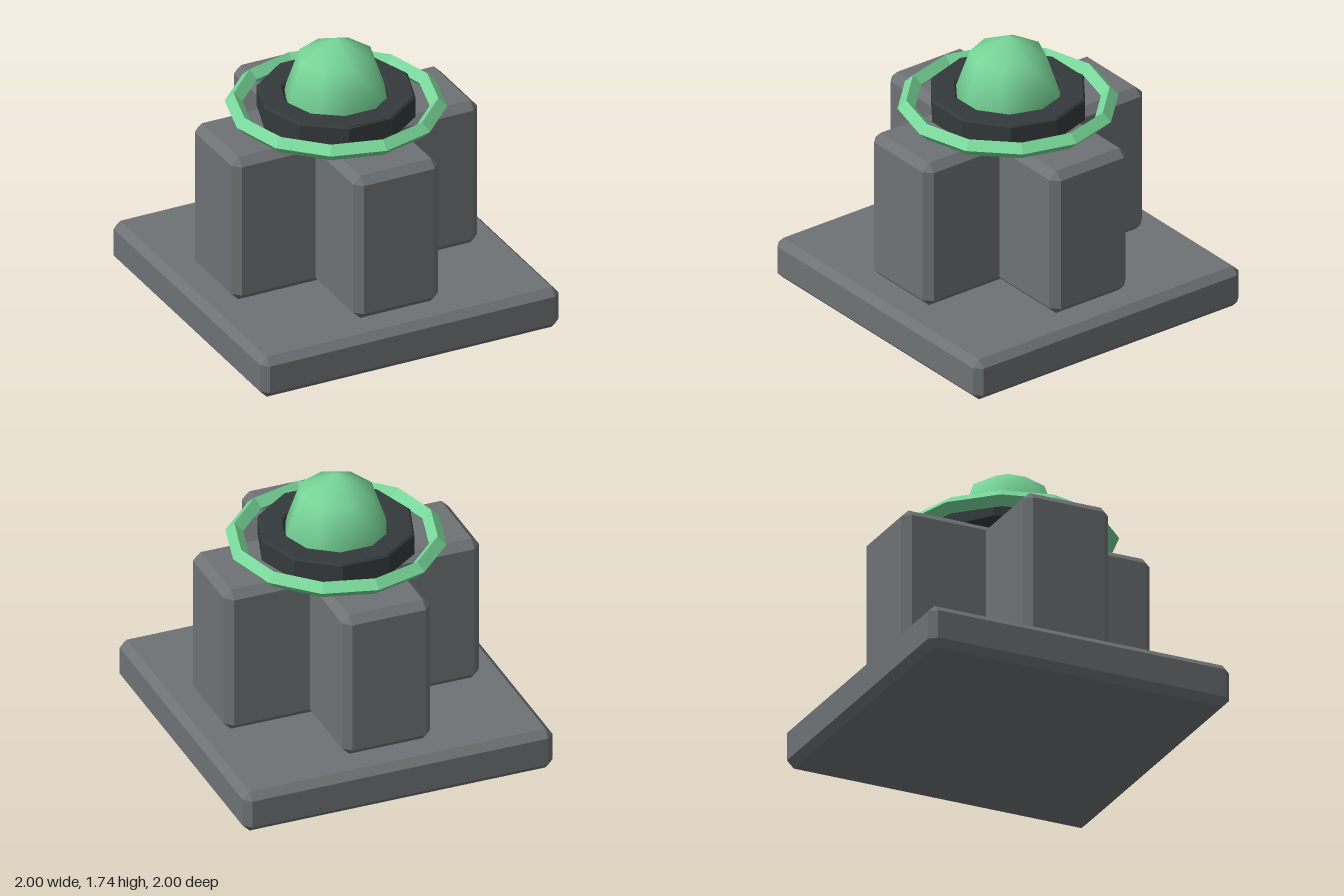
import * as THREE from 'three';
import { ConvexGeometry } from 'three/addons/geometries/ConvexGeometry.js';

const stone = new THREE.MeshStandardMaterial({ color: 0x6e7274 });
stone.name = 'stone grey';
const iron = new THREE.MeshStandardMaterial({ color: 0x343a3b });
iron.name = 'dark iron';
const glow = new THREE.MeshStandardMaterial({ color: 0x78d699 });
glow.name = 'mint green';

// Box with every edge cut at 45 degrees
function chamferBox(w, h, d, c) {
  const points = [];
  for (const sx of [-1, 1]) for (const sy of [-1, 1]) for (const sz of [-1, 1]) {
    const x = w / 2, y = h / 2, z = d / 2;
    points.push(
      new THREE.Vector3(sx * x, sy * (y - c), sz * (z - c)),
      new THREE.Vector3(sx * (x - c), sy * y, sz * (z - c)),
      new THREE.Vector3(sx * (x - c), sy * (y - c), sz * z),
    );
  }
  return new ConvexGeometry(points);
}

// Faceted normals baked into the geometry
function faceted(geometry) {
  const flat = geometry.toNonIndexed();
  flat.computeVertexNormals();
  return flat;
}

export function createModel() {
  const model = new THREE.Group();
  model.name = 'pedestal';
  const add = (name, geometry, material, y) => {
    const mesh = new THREE.Mesh(geometry, material);
    mesh.name = name;
    mesh.position.y = y;
    model.add(mesh);
    return mesh;
  };

  // Square foot
  add('base', chamferBox(2, 0.27, 2, 0.045), stone, 0.135);

  // Two crossed blocks form the plus-shaped column
  const block = chamferBox(1.65, 0.965, 0.57, 0.048);
  add('columnAcross', block, stone, 0.7525);
  add('columnDeep', block, stone, 0.7525).rotation.y = Math.PI / 2;

  // Ten-sided collar with bevelled rims
  const b = 0.012;
  const profile = [
    [0.48 - b, 1.23], [0.48, 1.23 + b], [0.48, 1.385 - b], [0.48 - b, 1.385],
    [0.335, 1.385], [0.335 - b, 1.385 - b], [0.335 - b, 1.23 + b], [0.335, 1.23], [0.48 - b, 1.23],
  ].map(([r, y]) => new THREE.Vector2(r, y));
  add('collar', faceted(new THREE.LatheGeometry(profile, 10, Math.PI / 2)), iron, 0);

  // Thin halo with a diamond cross-section
  const halo = new THREE.TorusGeometry(0.612, 0.053, 4, 12).rotateX(Math.PI / 2);
  add('haloRing', faceted(halo), glow, 1.291);

  // Smooth eight-sided dome seated in the collar
  add('dome', new THREE.SphereGeometry(0.325, 8, 4), glow, 1.345).scale.y = 1.2;

  return model;
}
